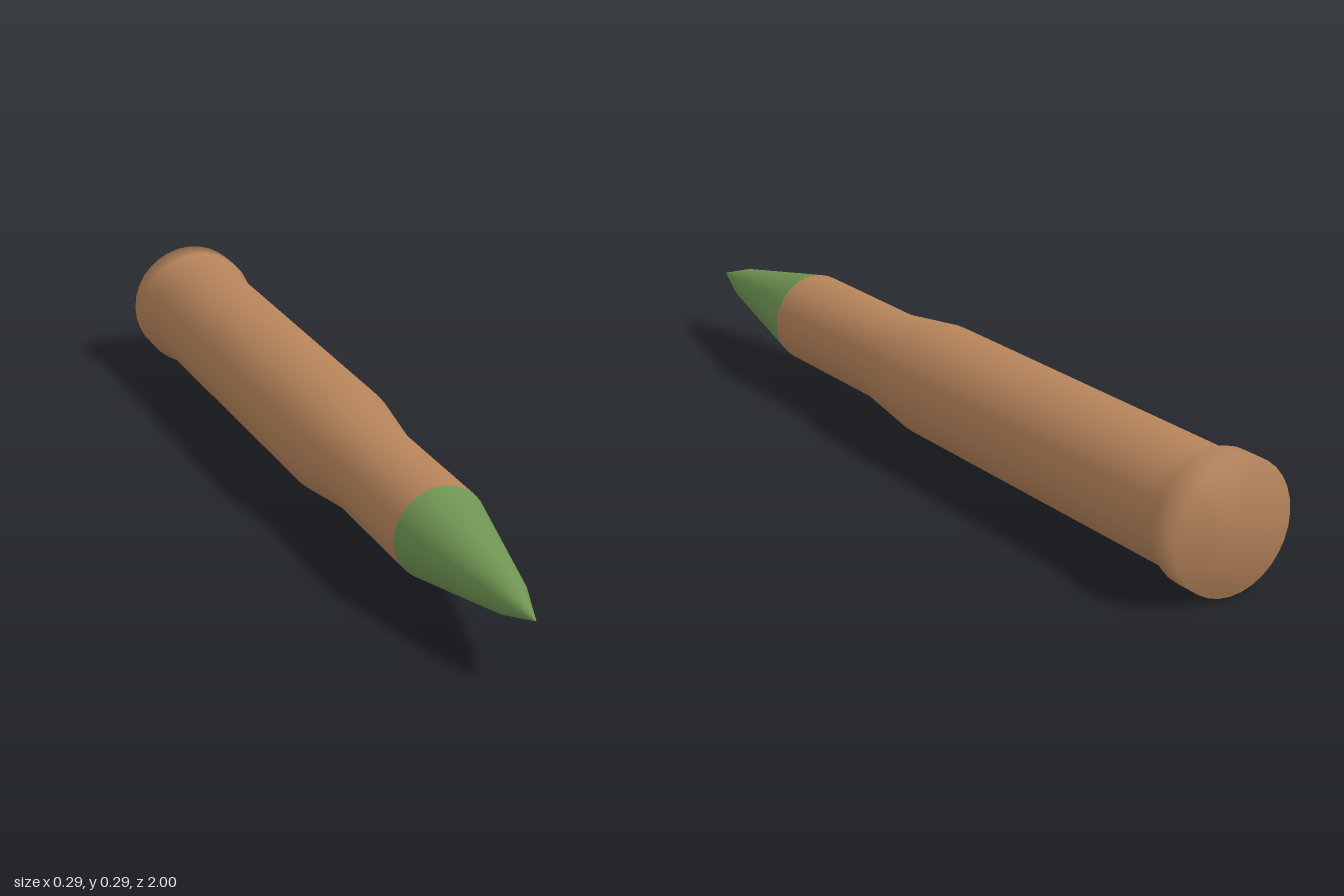
import * as THREE from 'three';

const AXIS_HEIGHT = 0.147;
const SIDES = 32;

// Revolves a [radius, z] profile, listed back to front, around the long axis.
function turned(name, profile, color) {
  const points = profile.map(([r, z]) => new THREE.Vector2(r, z));
  const geometry = new THREE.LatheGeometry(points, SIDES);
  geometry.rotateX(Math.PI / 2);
  const mesh = new THREE.Mesh(geometry, new THREE.MeshStandardMaterial({ color }));
  mesh.name = name;
  mesh.position.y = AXIS_HEIGHT;
  return mesh;
}

export function createModel() {
  const group = new THREE.Group();
  group.name = 'cartridge';

  // Case: closed base, rim, body, tapered shoulder and neck
  group.add(turned('case', [
    [0, -1], [0.147, -1], [0.147, -0.935], [0.133, -0.895],
    [0.131, 0.02], [0.106, 0.205], [0.106, 0.562],
  ], 0xb5835a));

  // Pointed tip seated in the neck
  group.add(turned('tip', [
    [0.106, 0.562], [0.039, 0.885], [0, 1],
  ], 0x6f9452));

  return group;
}
